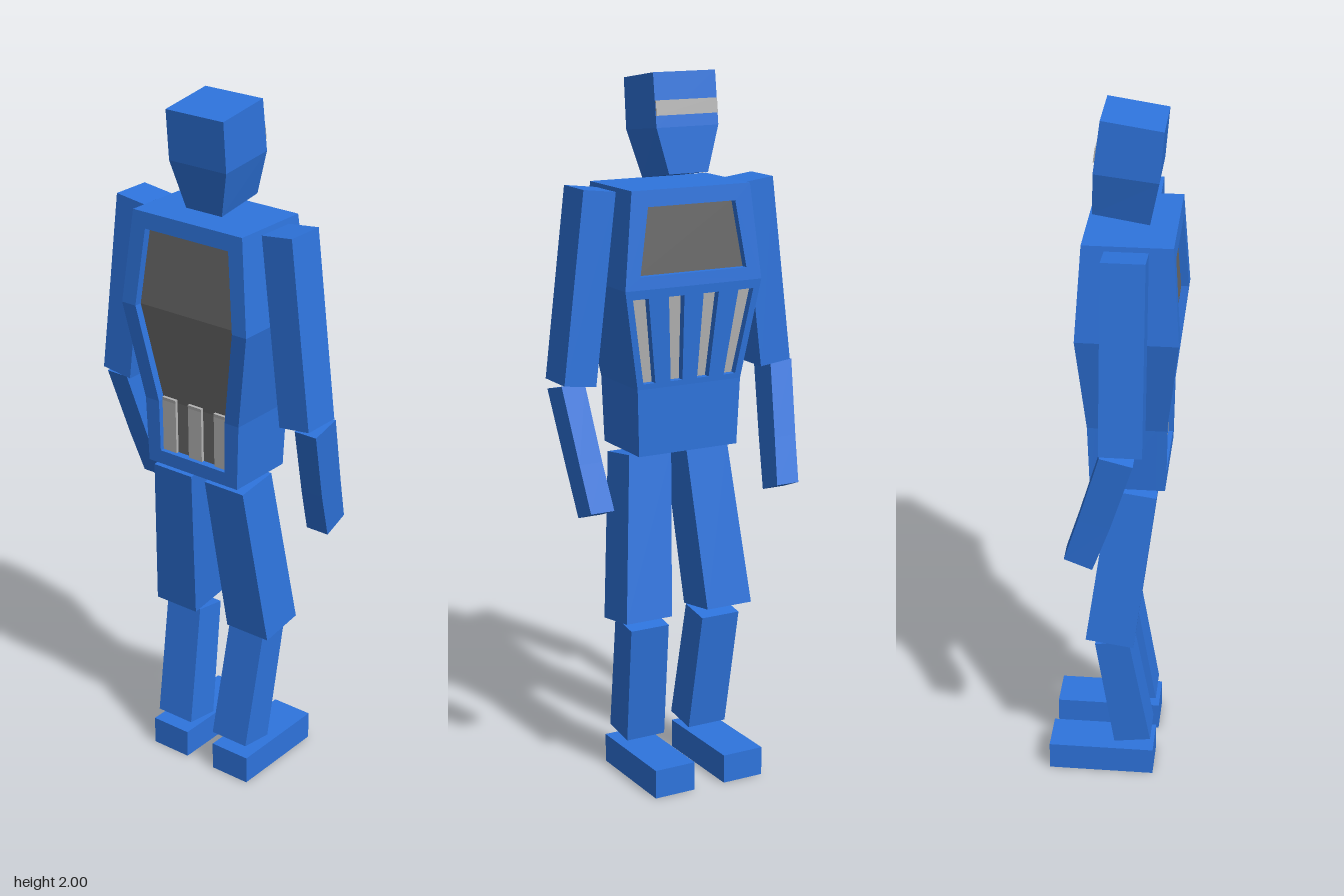
import * as THREE from 'three';

const mat = (color) => new THREE.MeshStandardMaterial({ color, flatShading: true });

// Torso profile, bottom to top: [y, half width, front z, back z]
const PROFILE = [
  [0.96, 0.155, 0.147, -0.06],
  [1.15, 0.162, 0.15, -0.066],
  [1.43, 0.212, 0.183, -0.093],
  [1.695, 0.183, 0.164, -0.076],
];
const DEPTH = 0.025; // depth of the torso recesses

// Interpolates one column of the profile at height y
function at(y, col) {
  let i = 0;
  while (i < PROFILE.length - 2 && y > PROFILE[i + 1][0]) i++;
  const a = PROFILE[i], b = PROFILE[i + 1];
  return a[col] + ((b[col] - a[col]) * (y - a[0])) / (b[0] - a[0]);
}

// Closed faceted solid through four-cornered sections, bottom to top.
// Row: [x0, x1, front z, front y, back z, back y]
function loft(rows) {
  const rings = rows.map(([x0, x1, zf, yf, zb, yb = yf]) => [
    [x0, yf, zf], [x1, yf, zf], [x1, yb, zb], [x0, yb, zb],
  ]);
  const pos = [];
  const quad = (a, b, c, d) => pos.push(...a, ...b, ...c, ...a, ...c, ...d);
  for (let i = 0; i < rings.length - 1; i++) {
    for (let k = 0; k < 4; k++) {
      const n = (k + 1) % 4;
      quad(rings[i][k], rings[i][n], rings[i + 1][n], rings[i + 1][k]);
    }
  }
  quad(...rings[rings.length - 1]);
  quad(...[...rings[0]].reverse());
  const g = new THREE.BufferGeometry();
  g.setAttribute('position', new THREE.Float32BufferAttribute(pos, 3));
  g.computeVertexNormals();
  return g;
}

// Plate with holes that follows the torso's front or back slope
function plate(points, holes, front) {
  const toVecs = (pts) => pts.map(([x, y]) => new THREE.Vector2(x, y));
  const shape = new THREE.Shape(toVecs(points));
  holes.forEach((h) => shape.holes.push(new THREE.Path(toVecs(h))));
  const g = new THREE.ExtrudeGeometry(shape, { depth: DEPTH, bevelEnabled: false });
  const p = g.attributes.position;
  for (let i = 0; i < p.count; i++) {
    const y = p.getY(i);
    p.setZ(i, p.getZ(i) + (front ? at(y, 2) - DEPTH : at(y, 3)));
  }
  g.computeVertexNormals();
  return g;
}

export function createModel() {
  const model = new THREE.Group();
  const blue = mat(0x2e74dd), dark = mat(0x686868), light = mat(0xb4b4b4);
  const add = (parent, name, geometry, material = blue) => {
    const mesh = new THREE.Mesh(geometry, material);
    mesh.name = name;
    parent.add(mesh);
    return mesh;
  };

  // Torso core
  const torso = new THREE.Group();
  torso.name = 'torso';
  model.add(torso);
  add(torso, 'torsoCore', loft(PROFILE.map(([y, w, f, b]) => [-w, w, f - DEPTH, y, b + DEPTH])));

  // Front frame around the tall opening
  const w = (y) => at(y, 1);
  add(torso, 'frontFrameTop', plate([
    [-w(1.43), 1.43], [-0.165, 1.43], [-0.14, 1.65], [0.14, 1.65],
    [0.165, 1.43], [w(1.43), 1.43], [w(1.695), 1.695], [-w(1.695), 1.695],
  ], [], true));
  for (const s of [-1, 1]) {
    add(torso, 'frontFrameSide', plate([
      [s * 0.115, 1.15], [s * w(1.15), 1.15], [s * w(1.43), 1.43], [s * 0.165, 1.43],
    ], [], true));
  }
  add(torso, 'frontFrameBottom', plate([
    [-w(0.96), 0.96], [w(0.96), 0.96], [w(1.15), 1.15], [0.115, 1.15],
    [0.113, 1.0], [-0.113, 1.0], [-0.115, 1.15], [-w(1.15), 1.15],
  ], [], true));

  // Dark front panel and the three bars at its foot
  const inset = (x0, x1, y, lift) => [x0, x1, at(y, 2) - DEPTH + lift, y, at(y, 2) - DEPTH - 0.01];
  add(torso, 'frontPanel', loft([[0.113, 1.0], [0.115, 1.15], [0.165, 1.43], [0.14, 1.65]]
    .map(([x, y]) => inset(-x, x, y, 0.003))), dark);
  for (const x of [-0.09, 0, 0.09]) {
    add(torso, 'frontBar', loft([1.0, 1.15, 1.16].map((y) => inset(x - 0.023, x + 0.023, y, 0.012))), light);
  }

  // Back plates: window above, four slots below, plain waist
  const band = (y0, y1) => [[-w(y0), y0], [w(y0), y0], [w(y1), y1], [-w(y1), y1]];
  const backWindow = [[-0.165, 1.465], [0.165, 1.465], [0.135, 1.65], [-0.135, 1.65]];
  const slots = [];
  for (const s of [-1, 1]) {
    slots.push([[s * 0.108, 1.165], [s * 0.145, 1.165], [s * 0.188, 1.405], [s * 0.14, 1.405]]);
    slots.push([[s * 0.023, 1.165], [s * 0.06, 1.165], [s * 0.078, 1.405], [s * 0.03, 1.405]]);
  }
  add(torso, 'backUpper', plate(band(1.43, 1.695), [backWindow], false));
  add(torso, 'backRibs', plate(band(1.15, 1.43), slots, false));
  add(torso, 'backWaist', plate(band(0.96, 1.15), [], false));

  // Coloured floors of the back recesses
  const floor = ([a, b, c, d]) => loft([[a, b], [d, c]].map(([p, q]) => {
    const z = at(p[1], 3) + DEPTH;
    return [Math.min(p[0], q[0]), Math.max(p[0], q[0]), z + 0.01, p[1], z - 0.004];
  }));
  add(torso, 'backWindow', floor(backWindow), dark);
  slots.forEach((s) => add(torso, 'backSlot', floor(s), light));

  // Head, with a band across the face
  const head = new THREE.Group();
  head.name = 'head';
  model.add(head);
  add(head, 'skull', loft([
    [-0.06, 0.06, 0.092, 1.705, -0.06, 1.73],
    [-0.095, 0.095, 0.118, 1.835, -0.054, 1.855],
    [-0.095, 0.095, 0.13, 1.975, -0.035, 2.0],
  ]));
  add(head, 'visor', loft([
    [-0.094, 0.094, -0.035, 1.885, -0.0535, 1.887],
    [-0.094, 0.094, -0.03, 1.925, -0.048, 1.927],
  ]), light);

  // Arms and legs, mirrored
  for (const s of [1, -1]) {
    const side = (rows) => loft(rows.map(([a, b, ...r]) => (s > 0 ? [a, b, ...r] : [-b, -a, ...r])));
    const arm = new THREE.Group(), leg = new THREE.Group();
    arm.name = s > 0 ? 'leftArm' : 'rightArm';
    leg.name = s > 0 ? 'leftLeg' : 'rightLeg';
    model.add(arm, leg);

    const upper = add(arm, 'upperArm', new THREE.BoxGeometry(0.097, 0.53, 0.116));
    upper.position.set(s * 0.278, 1.43, 0.043);
    upper.rotation.z = s * 0.121;
    const wrist = [0.275, 0.344, 0.014, 0.945, -0.072, 0.965];
    add(arm, 'forearm', side([wrist, [0.295, 0.365, 0.077, 1.15, -0.012, 1.172]]));
    add(arm, 'hand', side([[0.26, 0.331, -0.035, 0.805, -0.112, 0.835], wrist]));

    add(leg, 'thigh', side([
      [0.058, 0.202, 0.066, 0.465, -0.07, 0.485],
      [0.024, 0.157, 0.124, 0.935, -0.005, 0.953],
    ]));
    add(leg, 'shin', side([
      [0.041, 0.162, 0.113, 0.116, 0.008, 0.102],
      [0.055, 0.175, 0.05, 0.467, -0.046, 0.452],
    ]));
    add(leg, 'foot', side([
      [0.048, 0.173, 0.122, 0, -0.183],
      [0.048, 0.173, 0.122, 0.083, -0.183],
    ]));
  }
  return model;
}
